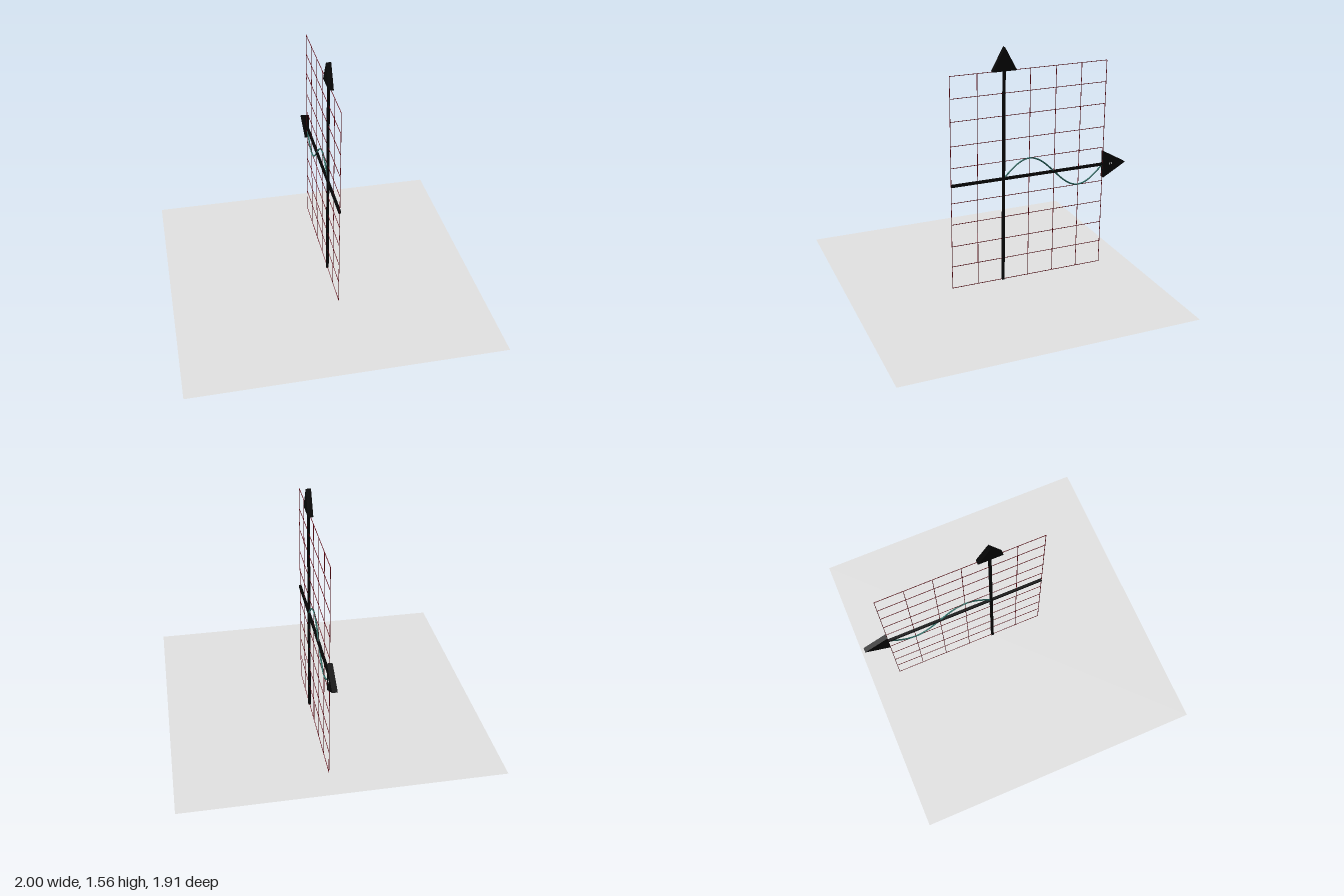
import * as THREE from 'three';

export function createModel() {
  const model = new THREE.Group();
  const mat = (name, color, side = THREE.FrontSide) => {
    const m = new THREE.MeshStandardMaterial({ color, side });
    m.name = name;
    return m;
  };
  const grey = mat('floor grey', 0xe3e3e3, THREE.DoubleSide);
  const black = mat('axis black', 0x050505);
  const maroon = mat('grid maroon', 0x5c0a14);
  const teal = mat('curve teal', 0x2f7068);
  const white = mat('mark white', 0xffffff);

  const X = 0.067, originY = 0.71, originZ = -0.054;
  const zMin = -0.759, zMax = 0.298, top = 1.412;

  const add = (name, geometry, material, x, y, z, parent = model) => {
    const mesh = new THREE.Mesh(geometry, material);
    mesh.name = name;
    mesh.position.set(x, y, z);
    parent.add(mesh);
    return mesh;
  };

  // Floor sheet
  const floor = new THREE.PlaneGeometry(2, 1.91).rotateX(-Math.PI / 2);
  add('floor', floor, grey, 0, 0, 0);

  // Upright grid of thin bars
  const grid = new THREE.Group();
  grid.name = 'grid';
  model.add(grid);
  const bar = 0.003;
  for (const y of [0.004, 0.156, 0.297, 0.448, 0.593, 0.71, 0.827, 0.969, 1.126, 1.271, top]) {
    add('gridRow', new THREE.BoxGeometry(bar, bar, zMax - zMin), maroon, X, y, (zMin + zMax) / 2, grid);
  }
  for (let i = 0; i <= 6; i++) {
    const z = zMax + (zMin - zMax) * i / 6;
    add('gridColumn', new THREE.BoxGeometry(bar, top - 0.002, bar), maroon, X, top / 2 + 0.001, z, grid);
  }

  // Axes
  const thick = 0.016;
  add('verticalAxis', new THREE.BoxGeometry(thick, top, thick), black, X, top / 2, originZ);
  add('horizontalAxis', new THREE.BoxGeometry(thick, thick, zMax - zMin), black, X, originY, (zMin + zMax) / 2);

  // Flat triangular arrowheads, pointing up and to the back
  const arrow = (half, length) => {
    const shape = new THREE.Shape();
    shape.moveTo(-half, 0);
    shape.lineTo(half, 0);
    shape.lineTo(0, length);
    shape.closePath();
    const g = new THREE.ExtrudeGeometry(shape, { depth: 0.032, bevelEnabled: false });
    return g.translate(0, 0, -0.016).rotateY(Math.PI / 2);
  };
  add('verticalArrowhead', arrow(0.08, 0.148), black, X, top, originZ);
  add('horizontalArrowhead', arrow(0.091, 0.16), black, X, originY, zMin).rotation.x = -Math.PI / 2;

  // Two tiny pale marks on one face of the horizontal arrowhead
  for (const z of [-0.804, -0.818]) {
    add('arrowheadMark', new THREE.BoxGeometry(0.002, 0.012, 0.008), white, X + 0.0165, 0.713, z);
  }

  // One period of a sine wave along the horizontal axis
  const points = [];
  for (let i = 0; i <= 32; i++) {
    const t = i / 32;
    points.push(new THREE.Vector3(X, originY + 0.115 * Math.sin(t * Math.PI * 2), originZ + (zMin - originZ) * t));
  }
  const wave = new THREE.TubeGeometry(new THREE.CatmullRomCurve3(points), 96, 0.005, 8);
  add('sineCurve', wave, teal, 0, 0, 0);

  return model;
}
